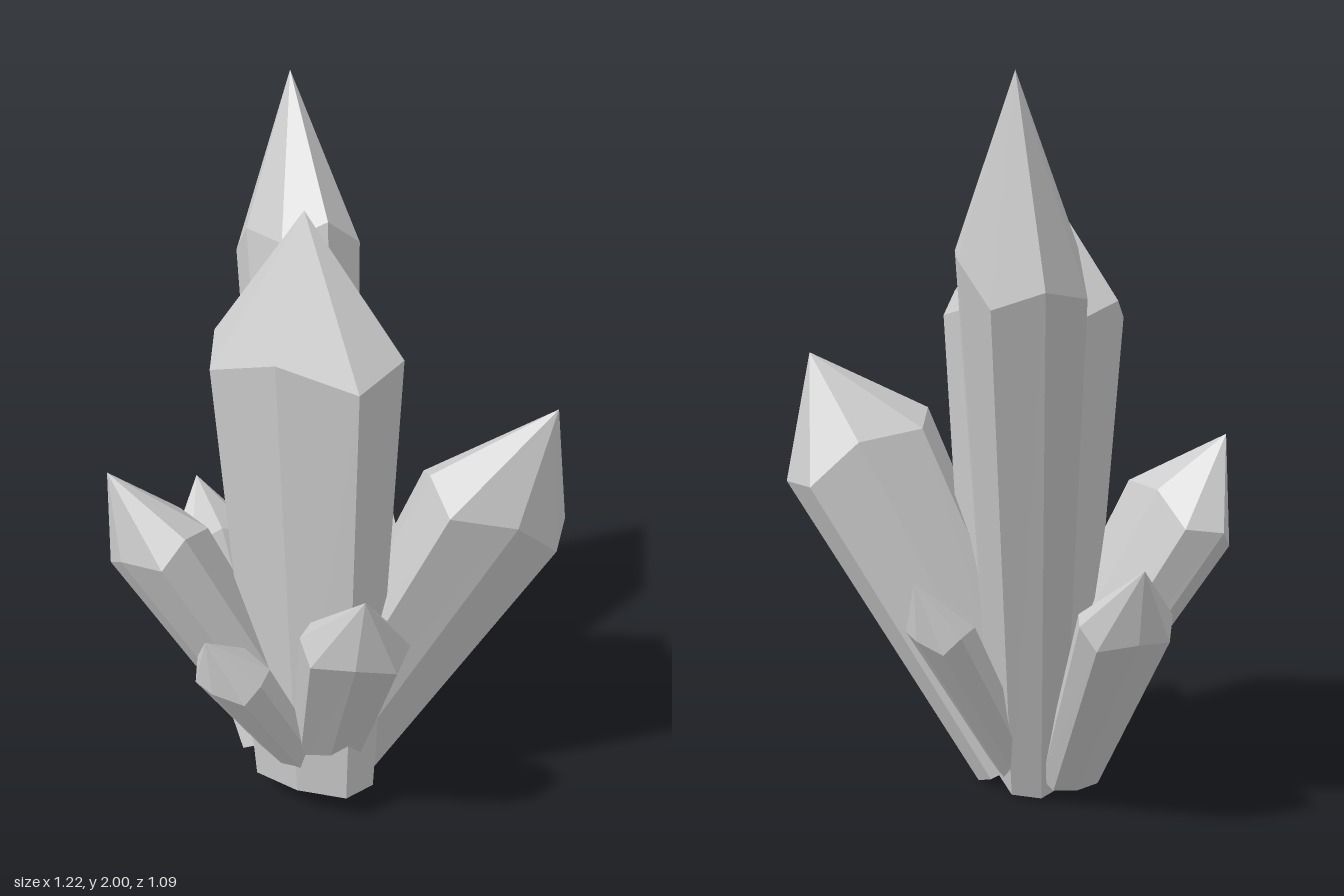
import * as THREE from 'three';

const material = new THREE.MeshStandardMaterial({ color: 0xcccccc, flatShading: true });

// One crystal: flattened eight-sided shaft that widens upward, then a faceted point.
// base, apex: ends of the axis; wide: direction of the broad side; w, n: half widths;
// t: how far along the axis the point begins; taper: size of the foot.
function crystal(name, { base, apex, wide, w, n, t = 0.78, taper = 0.66 }) {
  const foot = new THREE.Vector3(...base);
  const tip = new THREE.Vector3(...apex);
  const axis = tip.clone().sub(foot);
  const length = axis.length();
  axis.normalize();
  const u = new THREE.Vector3(...wide);
  u.addScaledVector(axis, -u.dot(axis)).normalize();
  const v = axis.clone().cross(u);

  const pos = [];
  const ring = (along, scale, drop) => {
    for (let i = 0; i < 8; i++) {
      const a = (i * Math.PI) / 4;
      const corner = i % 2 === 1;
      const k = scale * (corner ? 1.1 : 1); // corners sit slightly outside the ellipse
      const p = foot.clone()
        .addScaledVector(axis, along - (corner ? drop : 0))
        .addScaledVector(u, Math.cos(a) * w * k)
        .addScaledVector(v, Math.sin(a) * n * k);
      pos.push(p.x, p.y, p.z);
    }
  };
  ring(0, taper, 0);
  ring(length * t, 1, 0.21 * w);
  pos.push(...tip.toArray(), ...foot.toArray());

  const index = [];
  for (let i = 0; i < 8; i++) {
    const j = (i + 1) % 8;
    index.push(i, j, 8 + j, i, 8 + j, 8 + i); // shaft
    index.push(8 + i, 8 + j, 16); // point
    index.push(17, j, i); // underside
  }
  const indexed = new THREE.BufferGeometry();
  indexed.setAttribute('position', new THREE.Float32BufferAttribute(pos, 3));
  indexed.setIndex(index);
  const geometry = indexed.toNonIndexed();
  geometry.computeVertexNormals();
  const mesh = new THREE.Mesh(geometry, material);
  mesh.name = name;
  return mesh;
}

export function createModel() {
  const group = new THREE.Group();
  group.name = 'crystalCluster';
  const crystals = {
    centralCrystal: { base: [-0.01, 0.08, 0.16], apex: [-0.03, 1.79, 0.153], wide: [1, 0, 0], w: 0.28, n: 0.175, t: 0.79, taper: 0.68 },
    tallBackCrystal: { base: [-0.045, 0.06, 0.1], apex: [-0.4, 2, -0.48], wide: [-0.19, -0.09, -0.16], w: 0.255, n: 0.152 },
    leftCrystal: { base: [-0.02, 0.065, 0.115], apex: [0.585, 1.255, -0.12], wide: [0.15, -0.1, -0.16], w: 0.235, n: 0.145, t: 0.775, taper: 0.63 },
    rightFrontCrystal: { base: [-0.05, 0.075, 0.12], apex: [-0.53, 1.05, 0.38], wide: [0.16, 0.065, 0.08], w: 0.19, n: 0.118, t: 0.8 },
    rightBackCrystal: { base: [-0.215, 0.065, 0.075], apex: [-0.6, 0.78, -0.19], wide: [-0.07, 0, 0.11], w: 0.135, n: 0.085 },
    backCrystal: { base: [-0.065, 0.06, 0.03], apex: [-0.02, 0.705, -0.395], wide: [0.105, 0.02, 0.03], w: 0.115, n: 0.075, t: 0.8 },
    leftFrontCrystal: { base: [0.02, 0.12, 0.16], apex: [0.28, 0.875, 0.435], wide: [0.13, -0.03, -0.08], w: 0.148, n: 0.092 },
    smallFrontCrystal: { base: [-0.04, 0.11, 0.18], apex: [-0.14, 0.7, 0.54], wide: [0.12, 0, 0.03], w: 0.12, n: 0.078 },
  };
  for (const [name, spec] of Object.entries(crystals)) group.add(crystal(name, spec));
  return group;
}
